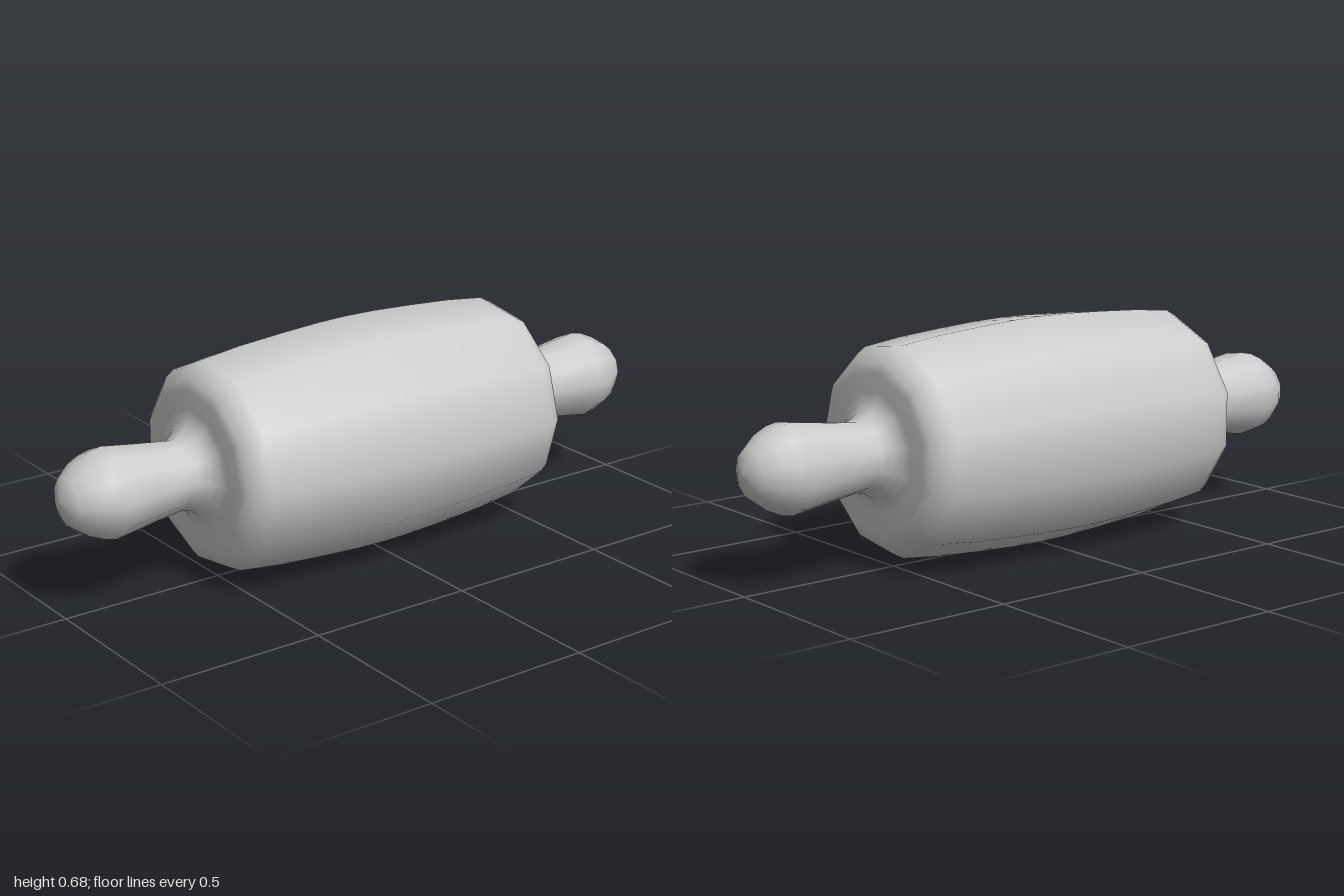
import * as THREE from 'three';

const SIDES = 11;
const material = new THREE.MeshStandardMaterial({ color: 0xcccccc, side: THREE.DoubleSide });

// Half of the pin as [radius, distance from the middle], from the tip inwards
const half = [
  // rounded handle
  [0, 1], [0.035, 0.995], [0.072, 0.977], [0.105, 0.935], [0.125, 0.89], [0.132, 0.855],
  [0.115, 0.74], [0.101, 0.635],
  // flared neck
  [0.107, 0.612], [0.125, 0.587], [0.15, 0.571], [0.178, 0.566],
  // end face and rounded rim
  [0.235, 0.565], [0.262, 0.557], [0.29, 0.535], [0.308, 0.502],
  // barrel
  [0.323, 0.375], [0.333, 0.23], [0.34, 0.1],
];

export function createModel() {
  const group = new THREE.Group();
  group.name = 'rollingPin';

  // Mirror the half profile about the middle and spin it
  const points = [
    ...half.map(([r, z]) => new THREE.Vector2(r, -z)),
    new THREE.Vector2(0.342, 0),
    ...half.map(([r, z]) => new THREE.Vector2(r, z)).reverse(),
  ];
  const geometry = new THREE.LatheGeometry(points, SIDES, Math.PI / 2);
  geometry.rotateX(Math.PI / 2);

  // Roller and both handles are one turned piece lying along z
  const pin = new THREE.Mesh(geometry, material);
  pin.name = 'rollerWithHandles';
  pin.position.set(-0.007, 0.34, 0);
  group.add(pin);
  return group;
}
